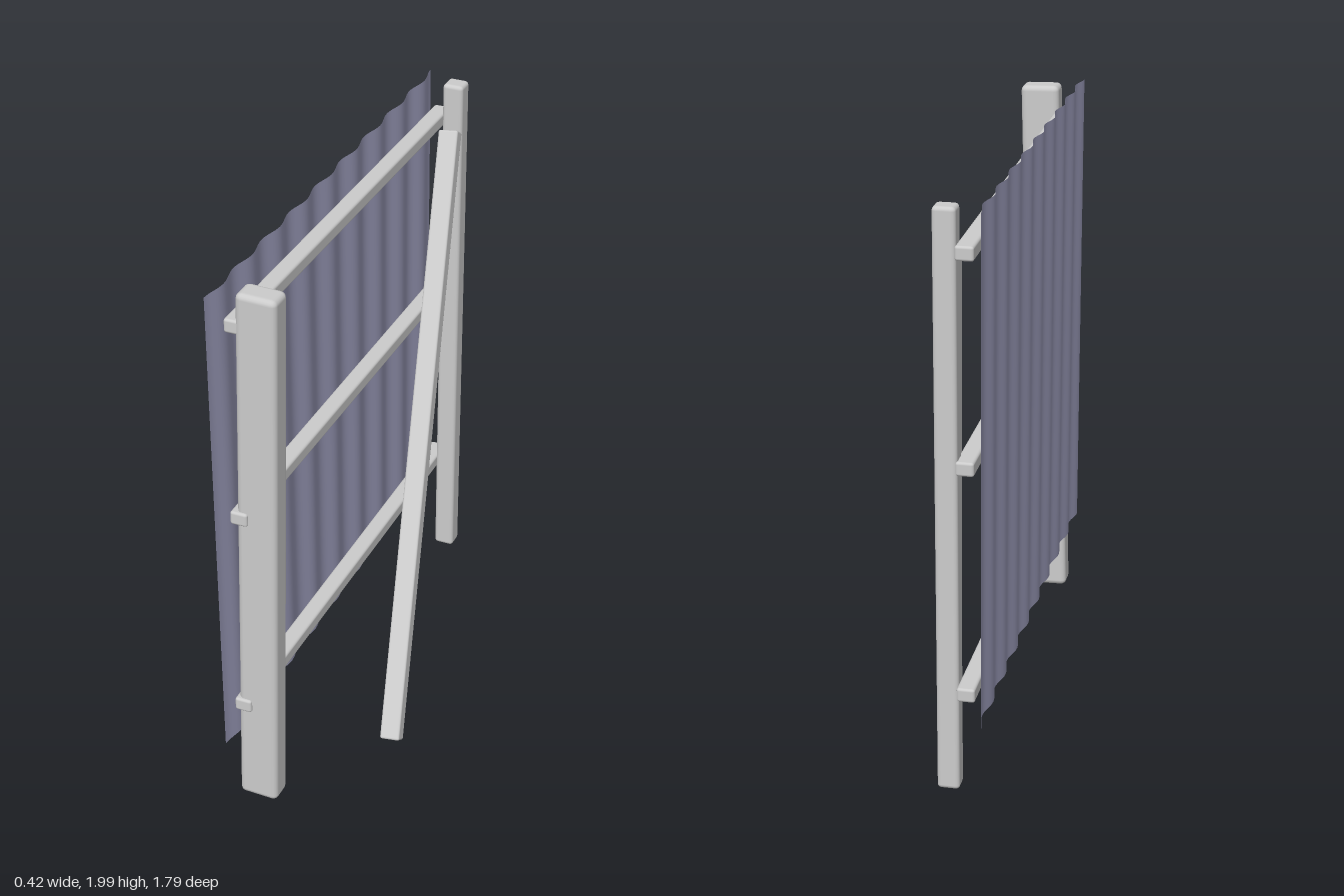
import * as THREE from 'three';
import { RoundedBoxGeometry } from 'three/addons/geometries/RoundedBoxGeometry.js';

const V = (x, y, z) => new THREE.Vector3(x, y, z);
const wood = new THREE.MeshStandardMaterial({ color: 0xcccccc });
const sheetMetal = new THREE.MeshStandardMaterial({ color: 0x9a9ab8, side: THREE.DoubleSide });

// Soft-edged beam whose length runs from a to b; width lies nearest to the hint axis
function beam(name, a, b, width, depth, radius, hint = V(1, 0, 0)) {
  const along = b.clone().sub(a);
  const mesh = new THREE.Mesh(
    new RoundedBoxGeometry(width, along.length(), depth, 2, radius), wood);
  along.normalize();
  const side = hint.clone().addScaledVector(along, -hint.dot(along)).normalize();
  const third = side.clone().cross(along);
  mesh.quaternion.setFromRotationMatrix(new THREE.Matrix4().makeBasis(side, along, third));
  mesh.position.copy(a).add(b).multiplyScalar(0.5);
  mesh.name = name;
  return mesh;
}

// Corrugated sheet: a plane facing -x, waved along z
function corrugatedPanel() {
  const length = 1.78, waves = 9;
  const geo = new THREE.PlaneGeometry(length, 1.72, waves * 12, 1);
  const pos = geo.attributes.position;
  for (let i = 0; i < pos.count; i++) {
    const t = pos.getX(i) / length + 0.5;
    pos.setZ(i, 0.008 * Math.cos(t * waves * Math.PI * 2));
  }
  geo.computeVertexNormals();
  const mesh = new THREE.Mesh(geo, sheetMetal);
  mesh.rotation.y = -Math.PI / 2;
  mesh.position.set(-0.208, 1.14, 0.008);
  mesh.name = 'corrugatedPanel';
  return mesh;
}

export function createModel() {
  const group = new THREE.Group();
  group.name = 'fencePanel';

  // Leaning wide front post and slimmer back post
  group.add(
    beam('frontPost', V(-0.13, 0.03, 0.8), V(-0.076, 2, 0.8), 0.138, 0.09, 0.02),
    beam('backPost', V(-0.1, 0.03, -0.815), V(-0.0925, 2, -0.815), 0.075, 0.07, 0.014));

  // Slightly sloping rails: x, front y, back y, front z, back z
  const rails = [
    ['topRail', -0.157, 1.88, 1.86, 0.84, -0.855],
    ['middleRail', -0.156, 1.187, 1.163, 0.855, -0.85],
    ['bottomRail', -0.168, 0.427, 0.402, 0.855, -0.893],
  ];
  for (const [name, x, yFront, yBack, zFront, zBack] of rails) {
    group.add(beam(name, V(x, yFront, zFront), V(x, yBack, zBack), 0.06, 0.048, 0.009));
  }

  // Diagonal brace propping the back post
  group.add(beam('brace', V(0.168, 0.02, 0.378), V(-0.092, 1.835, -0.765), 0.072, 0.052, 0.008));

  group.add(corrugatedPanel());
  return group;
}
